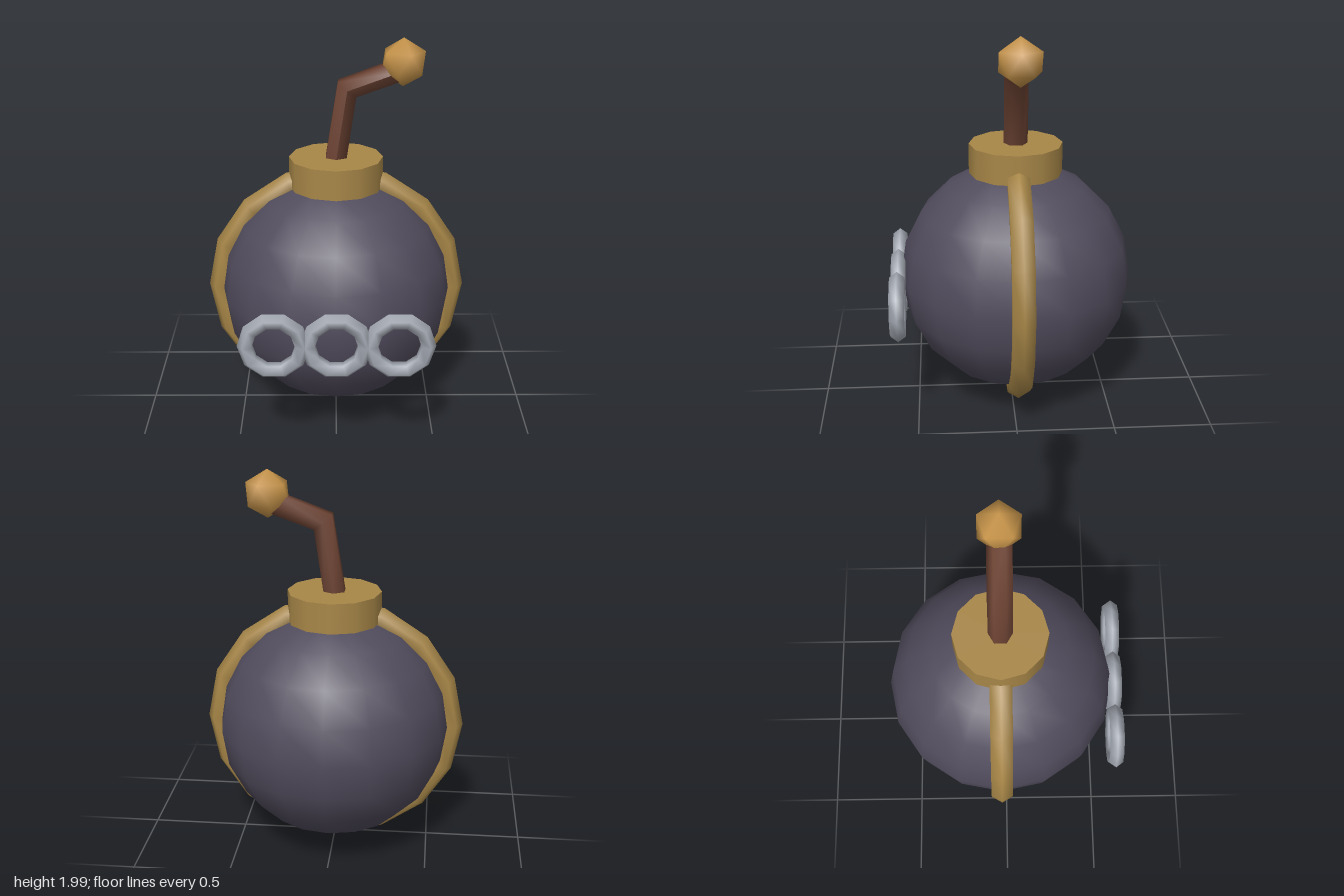
import * as THREE from 'three';
import { mergeVertices } from 'three/addons/utils/BufferGeometryUtils.js';

const Z = -0.025; // depth of the body's centre

export function createModel() {
  const group = new THREE.Group();
  const mat = (color) => new THREE.MeshStandardMaterial({ color });
  const iron = mat(0x514c5d), brass = mat(0xa88748), cord = mat(0x6b4232);
  const amber = mat(0xc8954a), steel = mat(0xa6abb5);

  const add = (name, geometry, material, x, y, z) => {
    const mesh = new THREE.Mesh(geometry, material);
    mesh.name = name;
    mesh.position.set(x, y, z);
    group.add(mesh);
    return mesh;
  };

  // Round body with a band around it
  add('body', new THREE.SphereGeometry(0.603, 16, 10), iron, 0, 0.68, Z);
  add('band', new THREE.TorusGeometry(0.608, 0.065, 6, 16), brass, 0, 0.68, Z);

  // Collar on top
  add('collar', new THREE.CylinderGeometry(0.24, 0.24, 0.155, 12), brass, 0, 1.3125, Z);

  // Bent fuse: hexagonal cross-section swept through three mitred points
  const r = 0.061;
  const sections = [
    { x: -0.005, y: 1.35, tilt: -0.13 },
    { x: 0.055, y: 1.745, tilt: -0.7, stretch: 1.12 },
    { x: 0.33, y: 1.845, tilt: -1.22 },
  ];
  const fuse = new THREE.CylinderGeometry(r, r, 1, 6, 2, false);
  const p = fuse.attributes.position;
  for (let i = 0; i < p.count; i++) {
    const s = sections[Math.round((p.getY(i) + 0.5) * 2)];
    const across = p.getX(i) * (s.stretch ?? 1);
    p.setXYZ(i, s.x + across * Math.cos(s.tilt), s.y + across * Math.sin(s.tilt), p.getZ(i));
  }
  fuse.computeVertexNormals();
  add('fuse', fuse, cord, 0, 0, Z);

  // Smooth-shaded faceted bead at the fuse tip, one corner pointing up
  let bead = new THREE.IcosahedronGeometry(0.122, 0);
  bead.deleteAttribute('normal');
  bead.deleteAttribute('uv');
  bead = mergeVertices(bead);
  bead.computeVertexNormals();
  add('fuseTip', bead, amber, 0.333, 1.878, Z).rotation.z = -Math.atan(2 / (1 + Math.sqrt(5)));

  // Three rings across the front
  for (const x of [-0.305, 0, 0.305]) {
    add('frontRing', new THREE.TorusGeometry(0.138, 0.04, 5, 10), steel, x, 0.63, 0.591);
  }
  return group;
}
